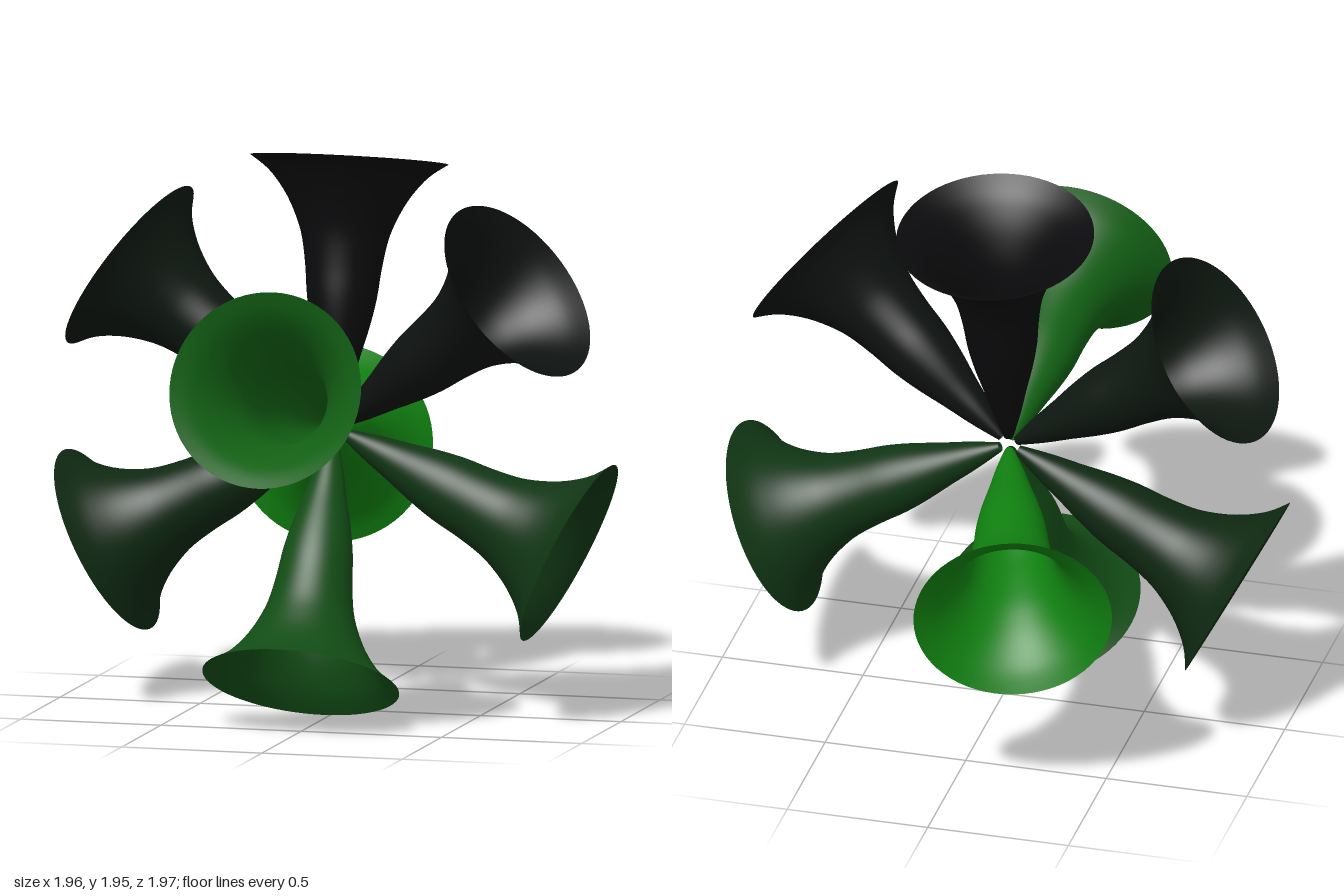
import * as THREE from 'three';

// Horn profile: [distance from centre, radius]
const PROFILE = [
  [0.035, 0.016], [0.06, 0.024], [0.15, 0.05], [0.25, 0.074], [0.35, 0.1], [0.45, 0.12], [0.55, 0.131],
  [0.65, 0.148], [0.72, 0.172], [0.79, 0.207], [0.85, 0.25], [0.89, 0.29], [0.925, 0.341],
];

// Each horn: name, direction it points, colour
const HORNS = [
  ['topHorn', [0, 0.9, -0.185], 0x0b0b0d],
  ['upperLeftHorn', [0.72, 0.545, 0.23], 0x0d110f],
  ['upperRightHorn', [-0.77, 0.53, -0.095], 0x0d1710],
  ['lowerRightHorn', [-0.81, -0.42, -0.03], 0x0e2811],
  ['lowerLeftHorn', [0.85, -0.405, 0], 0x103514],
  ['bottomHorn', [0, -0.83, 0.44], 0x124c15],
  ['frontHorn', [0, 0.268, 0.895], 0x126014],
  ['backHorn', [-0.25, -0.195, -0.88], 0x108010],
];

export function createModel() {
  const group = new THREE.Group();
  group.name = 'hornCluster';

  // Smooth the profile and spin it into an open, flared shell
  const curve = new THREE.SplineCurve(PROFILE.map(([t, r]) => new THREE.Vector2(r, t)));
  const geometry = new THREE.LatheGeometry(curve.getPoints(36), 64);
  const up = new THREE.Vector3(0, 1, 0);

  // Point one horn along each direction
  for (const [name, dir, color] of HORNS) {
    const material = new THREE.MeshStandardMaterial({ color, side: THREE.DoubleSide });
    const horn = new THREE.Mesh(geometry, material);
    horn.name = name;
    horn.position.set(-0.02, 1, 0);
    horn.quaternion.setFromUnitVectors(up, new THREE.Vector3(...dir).normalize());
    group.add(horn);
  }
  return group;
}
